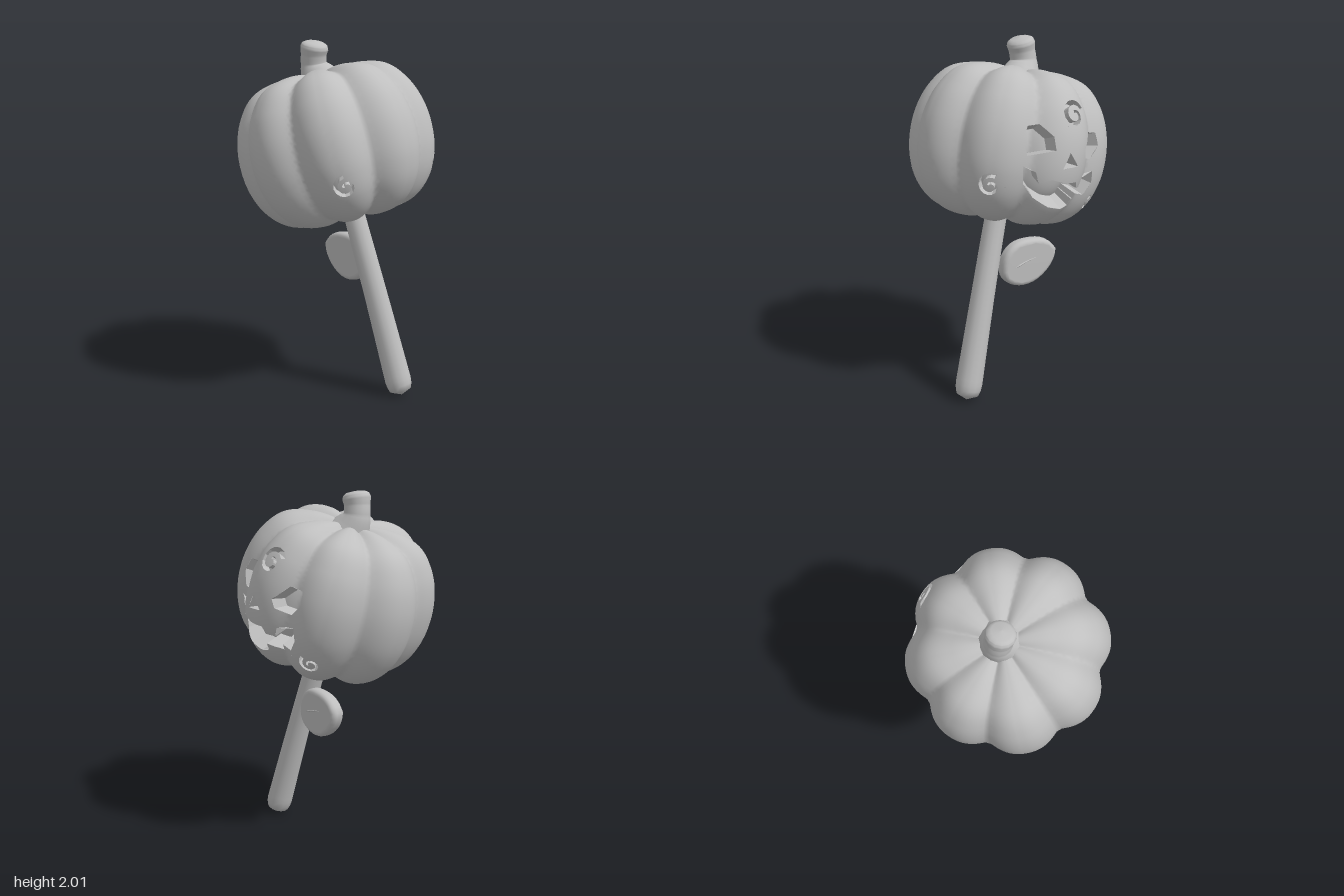
import * as THREE from 'three';
import { mergeVertices } from 'three/addons/utils/BufferGeometryUtils.js';

const V = (x, y, z) => new THREE.Vector3(x, y, z);
const { PI, sin, cos } = Math;
const gray = new THREE.MeshStandardMaterial({ color: 0xbfbfbf, side: THREE.DoubleSide });
gray.name = 'plain gray';

// The pumpkin leans along the line from stick to stem
const centre = V(0, 1.41, 0);
const lean = new THREE.Quaternion().setFromUnitVectors(V(0, 1, 0), V(-0.114, 0.963, -0.247).normalize());
const unlean = lean.clone().invert();

// Distance from the centre to the skin, by latitude, bottom to top
const profile = new THREE.SplineCurve(
  [0.34, 0.41, 0.47, 0.525, 0.55, 0.555, 0.555, 0.558, 0.56, 0.55, 0.5, 0.45, 0.41]
    .map((r, i) => new THREE.Vector2(i, r)));

// Skin radius at angle u and latitude f, with eight lobes
function skin(u, f) {
  const rib = Math.min(1, Math.sqrt(sin(4 * (u - 0.3)) ** 2 + 0.02));
  const weight = Math.max(0, cos(f)) ** 0.6;
  return profile.getPoint(THREE.MathUtils.clamp(f / PI + 0.5, 0, 1)).y * (1 - 0.12 * weight * (1 - rib) ** 1.2);
}
const angles = p => [Math.atan2(p.z, p.x), Math.atan2(p.y, Math.hypot(p.x, p.z))];
const height = p => p.length() - skin(...angles(p));

// Flat carving coordinates (-angle, latitude) to a point on the skin
function wrap(a, f, scale) {
  const r = skin(-a, f) * scale;
  return V(r * cos(f) * cos(a), r * sin(f), -r * cos(f) * sin(a));
}

function skinNormal(p) {
  const e = 0.004, n = V(0, 0, 0);
  for (const k of ['x', 'y', 'z']) {
    const a = p.clone(), b = p.clone();
    a[k] += e;
    b[k] -= e;
    n[k] = height(a) - height(b);
  }
  return n.normalize();
}

// Find the carving coordinates of a spot seen along the given axis
function spot(axis, h, y) {
  let lo = 0, hi = 0.8, p;
  for (let i = 0; i < 30; i++) {
    const m = (lo + hi) / 2;
    p = (axis === 'x' ? V(m, y, h) : V(h, y, m)).sub(centre).applyQuaternion(unlean);
    if (height(p) > 0) hi = m; else lo = m;
  }
  const [u, f] = angles(p);
  return new THREE.Vector2(-u, f);
}

// Curled groove around a spot
function curl(c, R, start) {
  const outer = [], inner = [], n = 16;
  for (let i = 0; i <= n; i++) {
    const t = i / n, a = start + t * 7.6, r = R * (1 - 0.74 * t), w = R * (0.32 - 0.16 * t);
    const at = q => new THREE.Vector2(c.x + q * cos(a) / cos(c.y), c.y + q * sin(a));
    outer.push(at(r));
    inner.unshift(at(r - w));
  }
  return { points: [...outer, ...inner], floor: 0.91 };
}

// Split long triangles so that a flat shape can bend smoothly
function split(a, b, c, out) {
  const ab = a.distanceTo(b), bc = b.distanceTo(c), ca = c.distanceTo(a);
  const m = Math.max(ab, bc, ca);
  if (m < 0.075) { out.push(a, b, c); return; }
  if (bc === m) return split(b, c, a, out);
  if (ca === m) return split(c, a, b, out);
  const h = a.clone().add(b).multiplyScalar(0.5);
  split(a, h, c, out);
  split(h, b, c, out);
}

function bentShape(shape, scale) {
  const g = new THREE.ShapeGeometry(shape).toNonIndexed(), pos = g.attributes.position, flat = [];
  for (let i = 0; i < pos.count; i += 3) {
    split(...[0, 1, 2].map(k => new THREE.Vector2(pos.getX(i + k), pos.getY(i + k))), flat);
  }
  const pts = flat.map(p => wrap(p.x, p.y, scale));
  const out = new THREE.BufferGeometry().setFromPoints(pts);
  out.setAttribute('normal', new THREE.Float32BufferAttribute(pts.flatMap(p => skinNormal(p).toArray()), 3));
  return out;
}

// Side walls of a carved hole
function walls({ points, floor }) {
  const pts = [];
  points.forEach((p, i) => {
    const q = points[(i + 1) % points.length];
    const a = wrap(p.x, p.y, 1), b = wrap(q.x, q.y, 1), c = wrap(q.x, q.y, floor), d = wrap(p.x, p.y, floor);
    pts.push(a, b, c, a, c, d);
  });
  const g = new THREE.BufferGeometry().setFromPoints(pts);
  g.computeVertexNormals();
  return g;
}

// Round rod along a path; radii are [position, radius] stops
function rod(points, radii) {
  const path = new THREE.CatmullRomCurve3(points), n = 40, sides = 14;
  const g = new THREE.TubeGeometry(path, n, 1, sides), pos = g.attributes.position;
  const p = V(0, 0, 0);
  for (let i = 0; i <= n; i++) {
    const t = i / n, c = path.getPointAt(t);
    const k = Math.max(1, radii.findIndex(s => s[0] >= t));
    const [t0, r0] = radii[k - 1], [t1, r1] = radii[k];
    const r = r0 + (r1 - r0) * (t - t0) / (t1 - t0);
    for (let j = 0; j <= sides; j++) {
      const id = i * (sides + 1) + j;
      p.fromBufferAttribute(pos, id).sub(c).multiplyScalar(r).add(c);
      pos.setXYZ(id, p.x, p.y, p.z);
    }
  }
  return smooth(g);
}

function smooth(g) {
  g.deleteAttribute('uv');
  g.deleteAttribute('normal');
  const m = mergeVertices(g, 1e-4);
  m.computeVertexNormals();
  return m;
}

export function createModel() {
  const model = new THREE.Group();
  model.name = 'pumpkinOnStick';
  const add = (parent, name, geometry) => {
    const mesh = new THREE.Mesh(geometry, gray);
    mesh.name = name;
    parent.add(mesh);
  };

  // Carved face, drawn as (z, y) outlines on the +x side
  const carve = list => ({ points: list.map(([z, y]) => spot('x', z, y)), floor: 0.8 });
  const face = {
    leftEye: carve([[.19, 1.58], [.15, 1.64], [.08, 1.64], [.03, 1.58], [.03, 1.51], [.17, 1.49]]),
    rightEye: carve([[-.17, 1.48], [-.24, 1.55], [-.31, 1.53], [-.32, 1.46], [-.25, 1.4], [-.18, 1.43]]),
    nose: carve([[-.05, 1.49], [0, 1.41], [-.1, 1.41]]),
    mouth: carve([[.2, 1.44], [.13, 1.4], [.12, 1.34], [.06, 1.36], [-.02, 1.33], [-.1, 1.32], [-.11, 1.28],
      [-.15, 1.27], [-.17, 1.32], [-.27, 1.33], [-.27, 1.26], [-.22, 1.2], [-.16, 1.22], [-.15, 1.19],
      [-.09, 1.22], [-.08, 1.18], [-.03, 1.17], [.06, 1.2], [.14, 1.26], [.19, 1.34]]),
    foreheadCurl: curl(spot('x', -.12, 1.67), 0.17, 0.6),
    cheekCurl: curl(spot('x', .36, 1.34), 0.14, 1.2),
    chinCurl: curl(spot('x', -.31, 1.13), 0.13, 2.5),
  };
  const side = { sideCurl: curl(spot('z', -.29, 1.28), 0.14, 1.6) };

  // Pumpkin skin in three sectors, the holes cut out and given walls and floors
  const pumpkin = new THREE.Group();
  pumpkin.name = 'pumpkin';
  pumpkin.position.copy(centre);
  pumpkin.quaternion.copy(lean);
  [face, side, {}].forEach((holes, i) => {
    const a = -PI / 3 - i * 2 * PI / 3, b = a + 2 * PI / 3;
    const sector = new THREE.Shape([[a, -PI / 2], [b, -PI / 2], [b, PI / 2], [a, PI / 2]]
      .map(p => new THREE.Vector2(...p)));
    for (const [name, hole] of Object.entries(holes)) {
      sector.holes.push(new THREE.Path(hole.points));
      add(pumpkin, name + 'Walls', walls(hole));
      add(pumpkin, name + 'Floor', bentShape(new THREE.Shape(hole.points), hole.floor));
    }
    add(pumpkin, 'skin' + (i + 1), bentShape(sector, 1));
  });
  model.add(pumpkin);

  // Bent stem with a flared foot, and the long handle
  add(model, 'stem', rod([V(-.025, 1.76, -.09), V(-.05, 1.86, -.135), V(-.057, 1.93, -.13), V(-.057, 2, -.115)],
    [[0, .13], [.3, .095], [.5, .074], [.7, .073], [.85, .08], [.93, .073], [.98, .05], [1, .001]]));
  add(model, 'stick', rod([V(.035, 1.2, .055), V(.05, 1.03, .105), V(.105, .6, .225), V(.18, 0, .385)],
    [[0, .001], [.03, .06], [.5, .067], [.94, .077], [.975, .064], [.99, .045], [1, .001]]));

  // Plump leaf beside the stick
  const leaf = new THREE.Shape();
  leaf.moveTo(-.1, .72);
  leaf.bezierCurveTo(-.1, .83, -.03, .86, .03, .86);
  leaf.bezierCurveTo(.12, .86, .17, .85, .21, .79);
  leaf.bezierCurveTo(.21, .72, .12, .64, .04, .635);
  leaf.bezierCurveTo(-.02, .63, -.1, .66, -.1, .72);
  const blade = new THREE.ExtrudeGeometry(leaf, {
    depth: .02, bevelThickness: .03, bevelSize: .025, bevelSegments: 4, curveSegments: 8 });
  blade.rotateY(PI / 2).translate(.12, 0, 0);
  add(model, 'leaf', smooth(blade));
  add(model, 'leafVein', rod([V(.17, .735, .05), V(.171, .76, -.02), V(.17, .775, -.09)],
    [[0, .001], [.2, .006], [1, .001]]));
  return model;
}
